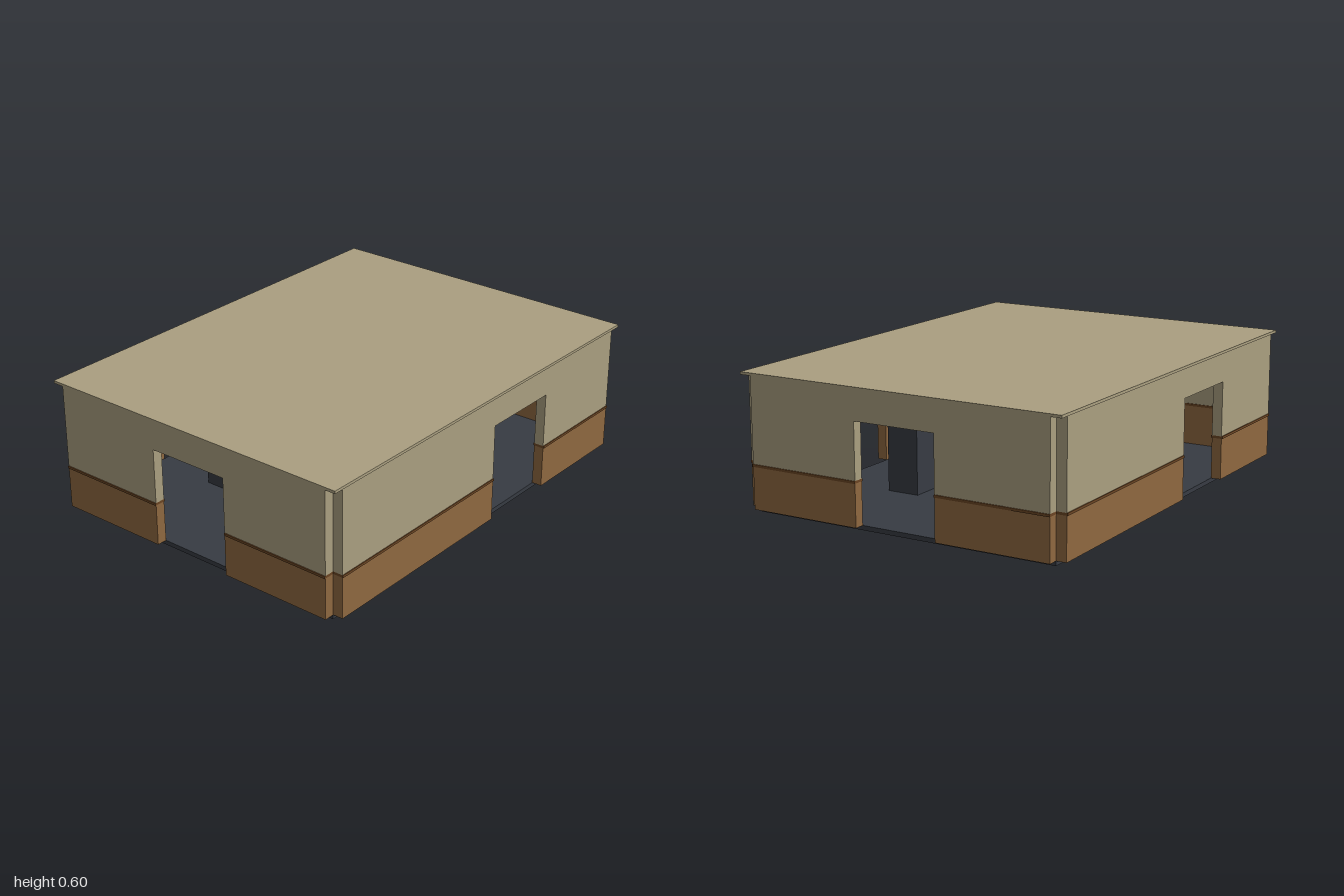
import * as THREE from 'three';

const mat = (name, color) => {
  const m = new THREE.MeshStandardMaterial({ color });
  m.name = name;
  return m;
};

export function createModel() {
  const plaster = mat('beige plaster', 0xaa9f80);
  const wood = mat('brown wainscot', 0x8f6840);
  const trim = mat('dark brown trim', 0x6b4523);
  const slate = mat('dark slate', 0x373b43);

  const room = new THREE.Group();
  room.name = 'room';

  // Box given by its minimum and maximum corners
  const box = (parent, name, material, x0, x1, y0, y1, z0, z1) => {
    const mesh = new THREE.Mesh(new THREE.BoxGeometry(x1 - x0, y1 - y0, z1 - z0), material);
    mesh.position.set((x0 + x1) / 2, (y0 + y1) / 2, (z0 + z1) / 2);
    mesh.name = name;
    parent.add(mesh);
  };

  // Wall along local x with its outer face at local z = 0 and a doorway
  const T = 0.046, LIP = 0.004, BASE = 0.02, RAIL = 0.205, CAP = 0.216, DOOR = 0.462, TOP = 0.59;
  const wall = (name, half, doorX, doorHalf) => {
    const g = new THREE.Group();
    g.name = name;
    const sides = [[-half, doorX - doorHalf], [doorX + doorHalf, half]];
    for (const [a, b] of sides) {
      box(g, 'wainscot', wood, a, b, BASE, RAIL, -T, 0);
      box(g, 'chairRail', trim, a, b, RAIL, CAP, -T - LIP, LIP);
      box(g, 'upperWall', plaster, a, b, CAP, TOP, -T, 0);
    }
    box(g, 'doorHeader', plaster, doorX - doorHalf, doorX + doorHalf, DOOR, TOP, -T, 0);
    return g;
  };

  // Floor and roof
  box(room, 'floor', slate, -0.71, 0.71, 0, BASE, -0.95, 0.95);
  box(room, 'roof', plaster, -0.76, 0.76, TOP, 0.602, -0.998, 0.998);

  // Each half is repeated by a half turn
  for (const turn of [0, Math.PI]) {
    const half = new THREE.Group();
    half.name = turn ? 'backHalf' : 'frontHalf';
    half.rotation.y = turn;
    room.add(half);

    const endWall = wall('endWall', 0.71, 0, 0.19);
    endWall.position.z = 0.996;
    half.add(endWall);

    const sideWall = wall('sideWall', 0.95, 0.24, 0.19);
    sideWall.rotation.y = Math.PI / 2;
    sideWall.position.x = 0.756;
    half.add(sideWall);

    // Row of cabinets beside the central aisle
    for (let i = 0; i < 4; i++) {
      const z = -0.47 + i * 0.235;
      box(half, 'cabinet', slate, 0.25, 0.4, BASE, 0.365, z, z + 0.235);
    }

    // Ceiling beam and dark ceiling panel
    box(half, 'ceilingBeam', wood, -0.7, 0.7, 0.56, TOP, 0.535, 0.585);
    box(half, 'ceilingPanel', slate, 0.22, 0.45, 0.582, TOP, 0.18, 0.46);
  }
  box(room, 'middleBeam', wood, -0.7, 0.7, 0.56, TOP, -0.025, 0.025);

  return room;
}
